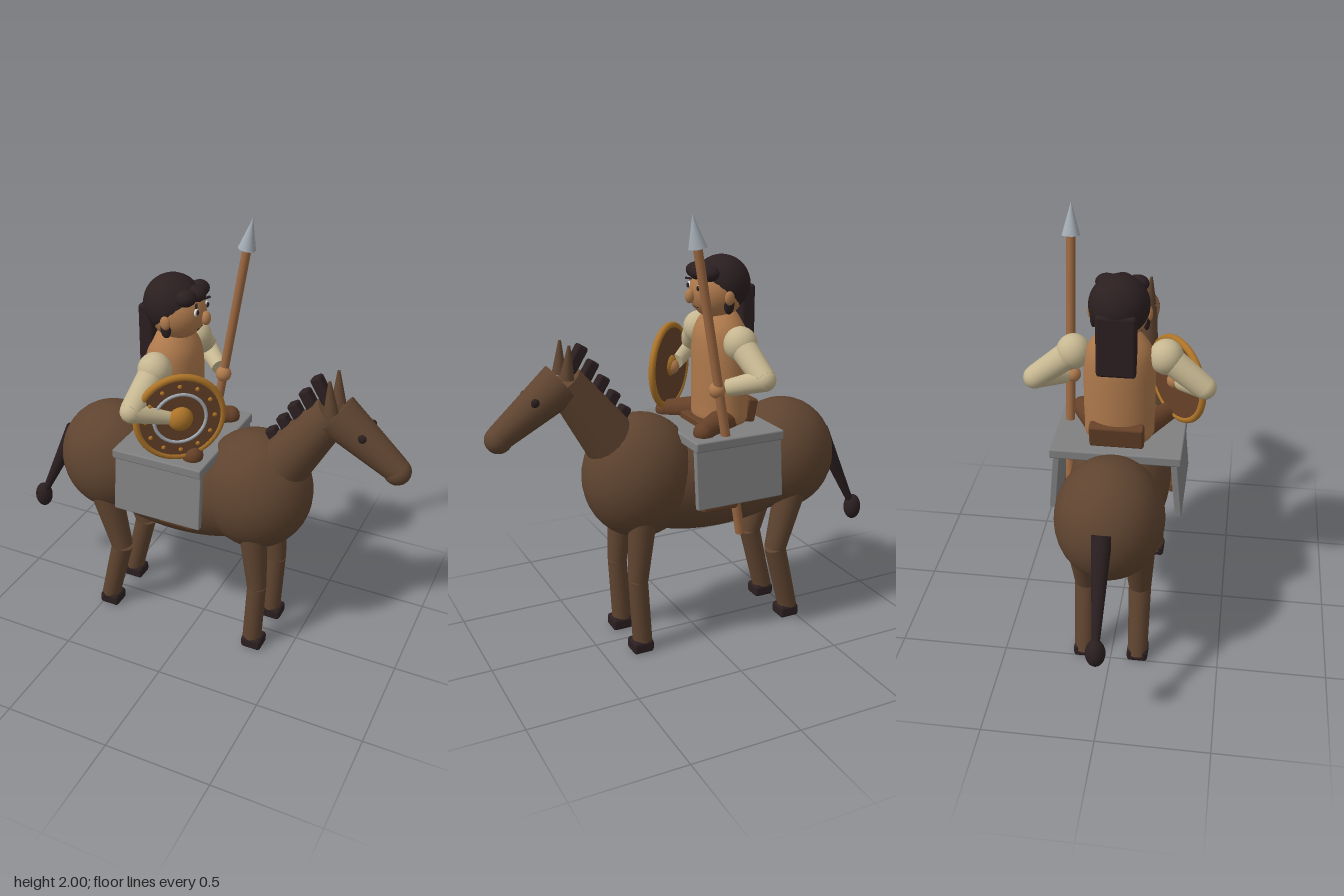
import * as THREE from 'three';
import { RoundedBoxGeometry } from 'three/addons/geometries/RoundedBoxGeometry.js';

const mat = (name, color) => Object.assign(new THREE.MeshStandardMaterial({ color }), { name });
const coat = mat('horse brown', 0x5f4430);
const dark = mat('dark hair', 0x2b1f20);
const grey = mat('blanket grey', 0x808080);
const skin = mat('skin', 0xae794c);
const wood = mat('spear wood', 0x9c6842);
const linen = mat('sleeve linen', 0xc6b791);
const gold = mat('brass', 0xad7428);
const steel = mat('steel', 0xa3abb3);
const leather = mat('leather', 0x664128);
const white = mat('eye white', 0xdfe3e6);

const V = (x, y, z) => new THREE.Vector3(x, y, z);

function add(parent, name, geometry, material, x = 0, y = 0, z = 0, rz = 0) {
  const m = new THREE.Mesh(geometry, material);
  m.name = name;
  m.position.set(x, y, z);
  m.rotation.z = rz;
  parent.add(m);
  return m;
}

// Ellipsoid from its centre and radii
function ball(parent, name, material, c, r, seg = 32) {
  const g = new THREE.SphereGeometry(1, seg, seg / 2);
  g.scale(r[0], r[1], r[2]);
  return add(parent, name, g, material, ...c);
}

// Tapered cylinder between two points
function limb(parent, name, material, a, b, ra, rb) {
  const p = V(...a), q = V(...b), d = q.clone().sub(p);
  const m = add(parent, name, new THREE.CylinderGeometry(rb, ra, d.length(), 24), material);
  m.position.copy(p).add(q).multiplyScalar(0.5);
  m.quaternion.setFromUnitVectors(V(0, 1, 0), d.normalize());
  return m;
}

function box(parent, name, material, c, s, rz = 0, r = 0.008) {
  return add(parent, name, new RoundedBoxGeometry(...s, 2, r), material, ...c, rz);
}

function buildHorse() {
  const g = new THREE.Group();
  g.name = 'horse';
  ball(g, 'hindquarters', coat, [-0.48, 0.81, 0], [0.26, 0.275, 0.24], 40);
  ball(g, 'chest', coat, [0.265, 0.82, 0], [0.265, 0.29, 0.24], 40);
  ball(g, 'belly', coat, [-0.1, 0.77, 0], [0.55, 0.255, 0.23], 40);
  limb(g, 'neck', coat, [0.37, 0.96, 0], [0.61, 1.3, 0], 0.13, 0.085);
  limb(g, 'head', coat, [0.62, 1.29, 0], [0.905, 1.085, 0], 0.1, 0.058);
  ball(g, 'muzzle', coat, [0.905, 1.08, 0], [0.06, 0.06, 0.06]);

  // Mane tufts grow taller toward the head
  for (let i = 0; i < 5; i++) {
    box(g, 'maneTuft', dark, [0.34 + 0.053 * i, 1.125 + 0.066 * i, 0], [0.05, 0.065 + 0.017 * i, 0.055], 0.55, 0.012);
  }

  for (const s of [1, -1]) {
    const ear = limb(g, 'ear', coat, [0.61, 1.32, s * 0.05], [0.598, 1.465, s * 0.058], 0.032, 0.006);
    ear.name = 'ear';
    ball(g, 'horseEye', dark, [0.76, 1.24, s * 0.074], [0.019, 0.019, 0.014], 16);

    const z = s * 0.125;
    limb(g, 'frontUpperLeg', coat, [0.3, 0.72, z], [0.333, 0.36, z], 0.068, 0.047);
    limb(g, 'frontLowerLeg', coat, [0.333, 0.36, z], [0.315, 0.025, z], 0.045, 0.046);
    box(g, 'frontHoof', dark, [0.325, 0.03, z], [0.1, 0.058, 0.096], 0, 0.015);
    limb(g, 'hindUpperLeg', coat, [-0.48, 0.72, z], [-0.39, 0.37, z], 0.08, 0.052);
    limb(g, 'hindLowerLeg', coat, [-0.39, 0.375, z], [-0.475, 0.025, z], 0.052, 0.046);
    box(g, 'hindHoof', dark, [-0.46, 0.03, z], [0.1, 0.058, 0.096], 0, 0.015);
  }

  limb(g, 'tail', dark, [-0.705, 0.89, 0], [-0.915, 0.47, 0], 0.045, 0.016);
  ball(g, 'tailTuft', dark, [-0.925, 0.445, 0], [0.043, 0.065, 0.043], 24);
  return g;
}

function buildTack() {
  const g = new THREE.Group();
  g.name = 'tack';
  box(g, 'blanketTop', grey, [-0.102, 1.007, 0], [0.44, 0.046, 0.58]);
  for (const s of [1, -1]) {
    const flap = box(g, 'blanketFlap', grey, [-0.102, 0.868, s * 0.27], [0.43, 0.3, 0.03], 0, 0.005);
    flap.rotation.x = -s * 0.09;
  }
  box(g, 'saddleSeat', leather, [-0.12, 1.04, 0], [0.26, 0.04, 0.2]);
  box(g, 'saddleBack', leather, [-0.25, 1.085, 0], [0.055, 0.11, 0.24], 0.2, 0.012);
  return g;
}

function buildRider() {
  const g = new THREE.Group();
  g.name = 'rider';
  const profile = [[0, 1.02], [0.14, 1.03], [0.155, 1.12], [0.157, 1.25], [0.155, 1.38], [0.14, 1.46], [0.1, 1.52], [0.06, 1.55], [0, 1.555]];
  const curve = new THREE.SplineCurve(profile.map(p => new THREE.Vector2(...p)));
  const points = curve.getPoints(30).map(p => p.setX(Math.max(p.x, 0)));
  const torso = add(g, 'torso', new THREE.LatheGeometry(points, 36), skin, -0.145);
  torso.scale.x = 0.8;

  // Head and hair
  ball(g, 'face', skin, [-0.125, 1.63, 0], [0.125, 0.125, 0.125], 36);
  ball(g, 'hairCap', dark, [-0.15, 1.66, 0], [0.13, 0.13, 0.13], 36);
  ball(g, 'nose', skin, [0.008, 1.615, 0], [0.022, 0.032, 0.022], 20);
  for (const z of [-0.065, 0, 0.065]) {
    ball(g, 'fringe', dark, [z ? -0.055 : -0.04, 1.718, z], [0.045, 0.036, 0.05], 20);
  }
  box(g, 'hairTail', dark, [-0.245, 1.52, 0], [0.07, 0.28, 0.17], 0, 0.015);
  const mouth = box(g, 'mouth', dark, [-0.022, 1.566, 0], [0.008, 0.006, 0.05], 0, 0.002);
  mouth.rotation.z = 0.5;

  for (const s of [1, -1]) {
    ball(g, 'ear', skin, [-0.125, 1.615, s * 0.125], [0.024, 0.032, 0.014], 16);
    ball(g, 'sideburn', dark, [-0.128, 1.585, s * 0.113], [0.026, 0.045, 0.015], 16);
    ball(g, 'eye', white, [-0.014, 1.655, s * 0.05], [0.008, 0.017, 0.017], 16);
    ball(g, 'pupil', dark, [-0.009, 1.655, s * 0.05], [0.007, 0.012, 0.012], 16);
    const brow = box(g, 'brow', dark, [-0.014, 1.685, s * 0.05], [0.01, 0.009, 0.045], 0, 0.003);
    brow.rotation.y = s * 0.4;

    // Arms bend outward at the elbow and come forward to the hands
    const shoulder = [-0.14, 1.425, s * 0.2], elbow = [-0.165, 1.3, s * 0.37], hand = [-0.01, 1.24, s * 0.23];
    ball(g, 'shoulder', linen, shoulder, [0.075, 0.078, 0.075], 24);
    limb(g, 'upperSleeve', linen, shoulder, elbow, 0.062, 0.052);
    ball(g, 'elbow', linen, elbow, [0.051, 0.051, 0.051], 20);
    limb(g, 'forearmSleeve', linen, elbow, [-0.045, 1.253, s * 0.262], 0.05, 0.038);
    ball(g, 'hand', skin, hand, [0.037, 0.037, 0.037], 20);

    // Legs straddle the saddle, with the shins tucked behind the flaps
    const knee = [0.04, 1.045, s * 0.2];
    limb(g, 'thigh', leather, [-0.15, 1.06, s * 0.08], knee, 0.065, 0.045);
    ball(g, 'knee', leather, knee, [0.046, 0.046, 0.046], 20);
    limb(g, 'shin', leather, knee, [-0.04, 0.74, s * 0.24], 0.042, 0.03);
    box(g, 'boot', leather, [-0.01, 0.715, s * 0.25], [0.18, 0.05, 0.06], 0, 0.015);
  }
  return g;
}

function buildSpear() {
  const g = new THREE.Group();
  g.name = 'spear';
  limb(g, 'shaft', wood, [-0.13, 0.55, -0.24], [0.092, 1.87, -0.24], 0.022, 0.02);
  limb(g, 'spearhead', steel, [0.09, 1.86, -0.24], [0.115, 2.0, -0.24], 0.04, 0);
  return g;
}

// Round shield, modelled facing +z and then turned outward
function buildShield() {
  const g = new THREE.Group();
  g.name = 'shield';
  const disc = new THREE.CylinderGeometry(0.195, 0.195, 0.022, 48);
  disc.rotateX(Math.PI / 2);
  add(g, 'shieldFace', disc, leather);
  add(g, 'shieldRim', new THREE.TorusGeometry(0.19, 0.016, 12, 48), gold);
  add(g, 'shieldRing', new THREE.TorusGeometry(0.115, 0.008, 10, 40), steel, 0, 0, 0.01);
  ball(g, 'shieldBoss', gold, [0, 0, 0.01], [0.056, 0.056, 0.045], 24);
  for (let i = 0; i < 12; i++) {
    const a = i * Math.PI / 6;
    ball(g, 'stud', gold, [0.153 * Math.cos(a), 0.153 * Math.sin(a), 0.012], [0.01, 0.01, 0.008], 10);
  }
  g.position.set(-0.003, 1.245, 0.24);
  g.rotation.y = 0.7;
  return g;
}

export function createModel() {
  const model = new THREE.Group();
  model.name = 'mountedWarrior';
  model.add(buildHorse(), buildTack(), buildRider(), buildSpear(), buildShield());
  return model;
}
